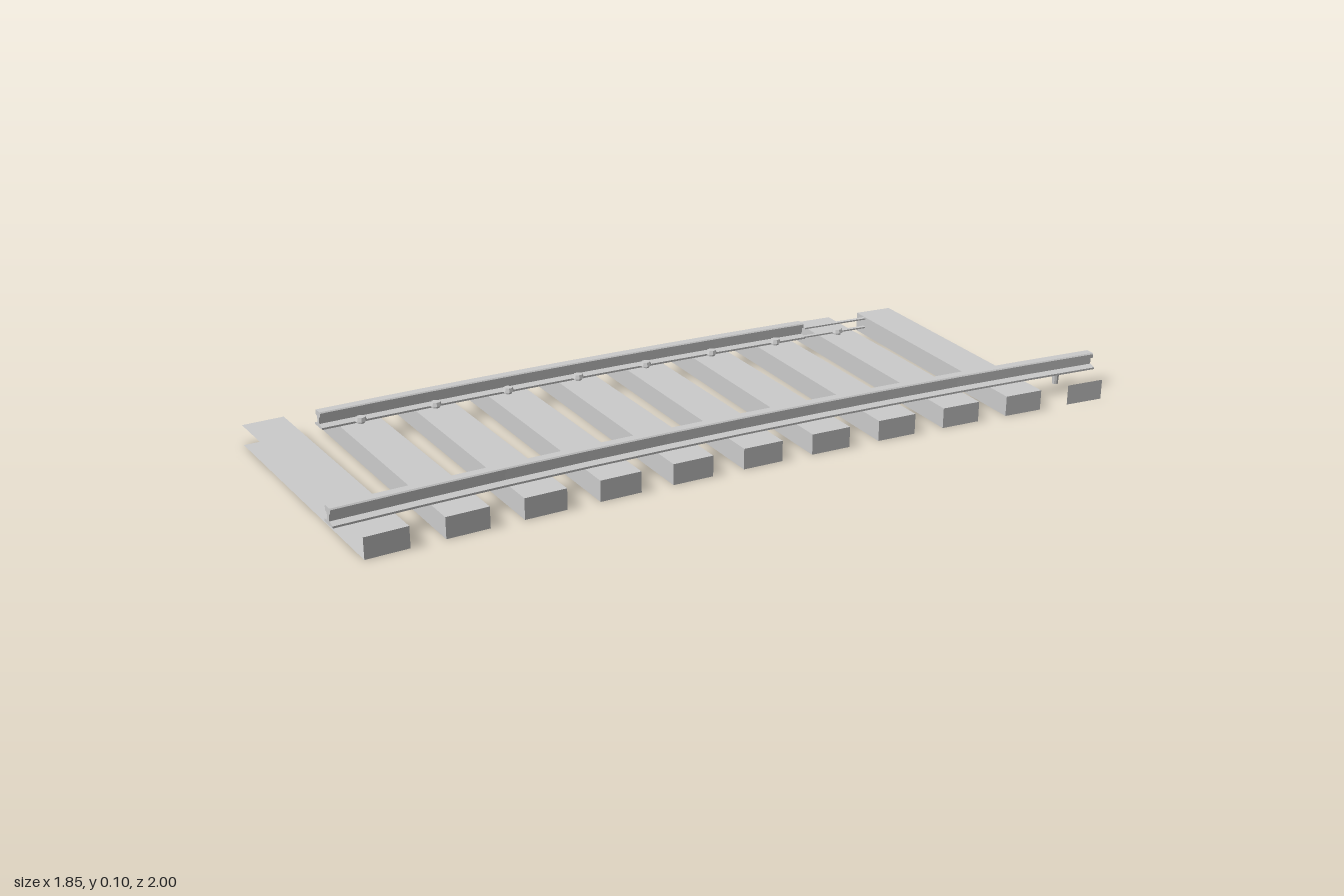
import * as THREE from 'three';

const material = new THREE.MeshStandardMaterial({ color: 0xcccccc, side: THREE.DoubleSide, flatShading: true });

// The track follows an arc around a far centre; angles in degrees
const CENTRE = { x: 11.487, z: 8.155 };
const TIE_RADIUS = 14.157;
const TIE_TOP = 0.054;
const tieAngle = (i) => 35.2 + (i - 5.5) * 0.811;

function onArc(radius, degrees, y = 0) {
  const t = THREE.MathUtils.degToRad(degrees);
  return new THREE.Vector3(CENTRE.x - radius * Math.cos(t), y, CENTRE.z - radius * Math.sin(t));
}

function addMesh(parent, geometry, name) {
  const mesh = new THREE.Mesh(geometry, material);
  mesh.name = name;
  parent.add(mesh);
  return mesh;
}

// Sweep a cross-section (radial offset, height) along the arc
function sweep(points, radius, from, to) {
  const shape = new THREE.Shape(points.map(([x, y]) => new THREE.Vector2(x, y)));
  const geometry = new THREE.ExtrudeGeometry(shape, { depth: 1, steps: 10, bevelEnabled: false });
  const pos = geometry.attributes.position;
  for (let i = 0; i < pos.count; i++) {
    const p = onArc(radius + pos.getX(i), from + (to - from) * pos.getZ(i), pos.getY(i));
    pos.setXYZ(i, p.x, p.y, p.z);
  }
  geometry.computeVertexNormals();
  return geometry;
}

// I-shaped rail section: foot, web and head
function railSection() {
  const half = [[0.024, TIE_TOP], [0.024, 0.059], [0.006, 0.064], [0.006, 0.081], [0.015, 0.084], [0.015, 0.094], [0.012, 0.097]];
  return [...half, ...half.map(([x, y]) => [-x, y]).reverse()];
}

// Hollow box sleeper with only the listed faces: 0 right, 1 left, 2 top, 3 bottom, 4 front, 5 back
function tieGeometry(faces) {
  const box = new THREE.BoxGeometry(0.768, TIE_TOP, 0.109);
  const index = Array.from(box.index.array);
  box.setIndex(faces.flatMap((f) => index.slice(f * 6, f * 6 + 6)));
  return box;
}

export function createModel() {
  const model = new THREE.Group();
  model.name = 'curvedTrack';

  // Sleepers; those at the cut ends are open
  const openTies = { 1: [0, 2, 3, 5], 9: [0, 2, 3, 4, 5], 10: [0, 2, 3, 4], 11: [0] };
  for (let i = 1; i <= 11; i++) {
    const tie = addMesh(model, tieGeometry(openTies[i] ?? [0, 1, 2, 3, 4, 5]), 'sleeper' + i);
    tie.position.copy(onArc(TIE_RADIUS, tieAngle(i), TIE_TOP / 2));
    tie.rotation.y = -THREE.MathUtils.degToRad(tieAngle(i));
  }

  // Rails
  addMesh(model, sweep(railSection(), 13.874, 31.17, 40.01), 'innerRail');
  addMesh(model, sweep(railSection(), 14.427, 31.96, 37.62), 'outerRail');

  // Thin strips continuing the broken end of the outer rail
  for (const y of [0.056, 0.082]) {
    const strip = [[-0.006, y], [0.006, y], [0.006, y + 0.004], [-0.006, y + 0.004]];
    addMesh(model, sweep(strip, 14.41, 37.62, 38.42), 'railStrip');
  }

  // Spikes along the inside edge of each rail
  const spikeRows = [[13.874 + 0.03, 1, 11], [14.427 - 0.027, 2, 9]];
  for (const [radius, first, last] of spikeRows) {
    for (let i = first; i <= last; i++) {
      const spike = new THREE.Group();
      spike.name = 'spike';
      addMesh(spike, new THREE.CylinderGeometry(0.011, 0.008, 0.055, 8), 'spikeShaft').position.y = 0.035;
      addMesh(spike, new THREE.CylinderGeometry(0.012, 0.016, 0.01, 8), 'spikeHead').position.y = 0.065;
      spike.position.copy(onArc(radius, tieAngle(i)));
      model.add(spike);
    }
  }
  return model;
}
